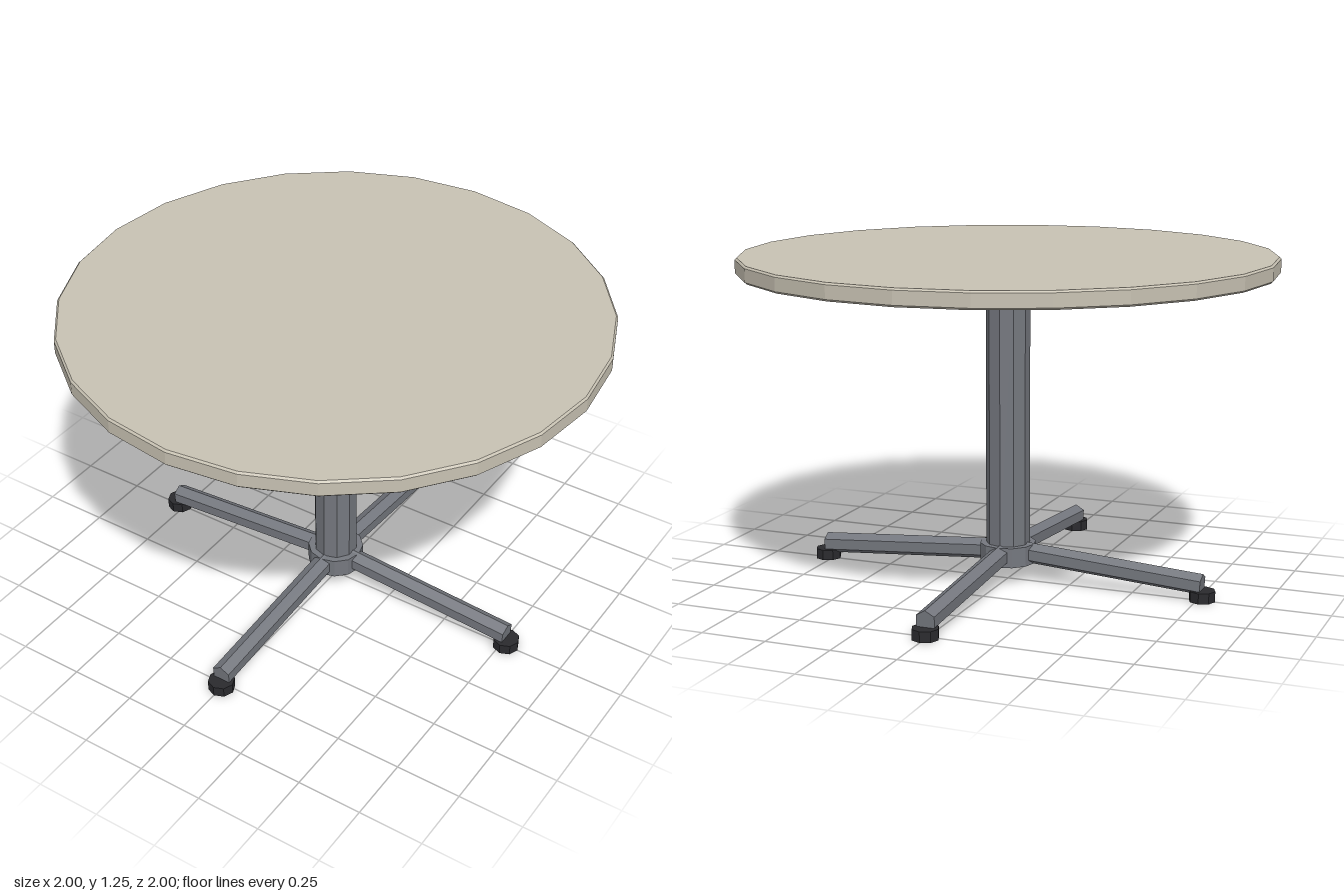
import * as THREE from 'three';

export function createModel() {
  const model = new THREE.Group();
  model.name = 'pedestalTable';

  const material = (name, color) => {
    const m = new THREE.MeshStandardMaterial({ color });
    m.name = name;
    return m;
  };
  const laminate = material('laminate', 0xc8c2b3);
  const steel = material('steel', 0x75787f);
  const rubber = material('blackRubber', 0x2a2a2e);

  // Faceted normals for the low-poly look
  const facet = (geometry) => {
    const g = geometry.toNonIndexed();
    g.computeVertexNormals();
    return g;
  };
  const add = (parent, name, geometry, mat, x = 0, y = 0, z = 0) => {
    const mesh = new THREE.Mesh(facet(geometry), mat);
    mesh.name = name;
    mesh.position.set(x, y, z);
    parent.add(mesh);
    return mesh;
  };
  // Upright prism between two heights
  const prism = (parent, name, radius, y0, y1, sides, mat, x = 0) =>
    add(parent, name, new THREE.CylinderGeometry(radius, radius, y1 - y0, sides), mat, x, (y0 + y1) / 2);

  // Round top with a fine bevel on both edges
  const profile = [[0, 1.187], [0.993, 1.187], [1, 1.194], [1, 1.243], [0.993, 1.25], [0, 1.25]]
    .map(([x, y]) => new THREE.Vector2(x, y));
  add(model, 'tableTop', new THREE.LatheGeometry(profile, 24), laminate);

  // Pedestal
  prism(model, 'mountingPlate', 0.25, 1.14, 1.187, 12, steel);
  prism(model, 'column', 0.083, 0.1, 1.145, 10, steel);
  prism(model, 'hub', 0.107, 0.07, 0.146, 12, steel);

  // Four sloping hexagonal legs, each with a foot and a plate bolt
  const inner = new THREE.Vector2(0.04, 0.114);
  const outer = new THREE.Vector2(0.769, 0.062);
  const span = outer.clone().sub(inner);
  for (let i = 0; i < 4; i++) {
    const arm = new THREE.Group();
    arm.name = 'arm' + (i + 1);
    arm.rotation.y = i * Math.PI / 2;

    const bar = new THREE.CylinderGeometry(0.04, 0.04, span.length(), 6);
    bar.rotateY(Math.PI / 6);
    bar.rotateZ(-Math.PI / 2 + span.angle());
    add(arm, 'leg', bar, steel, (inner.x + outer.x) / 2, (inner.y + outer.y) / 2);

    prism(arm, 'foot', 0.05, 0, 0.04, 8, rubber, 0.769);
    prism(arm, 'bolt', 0.014, 1.13, 1.145, 6, rubber, 0.184);
    model.add(arm);
  }

  return model;
}
